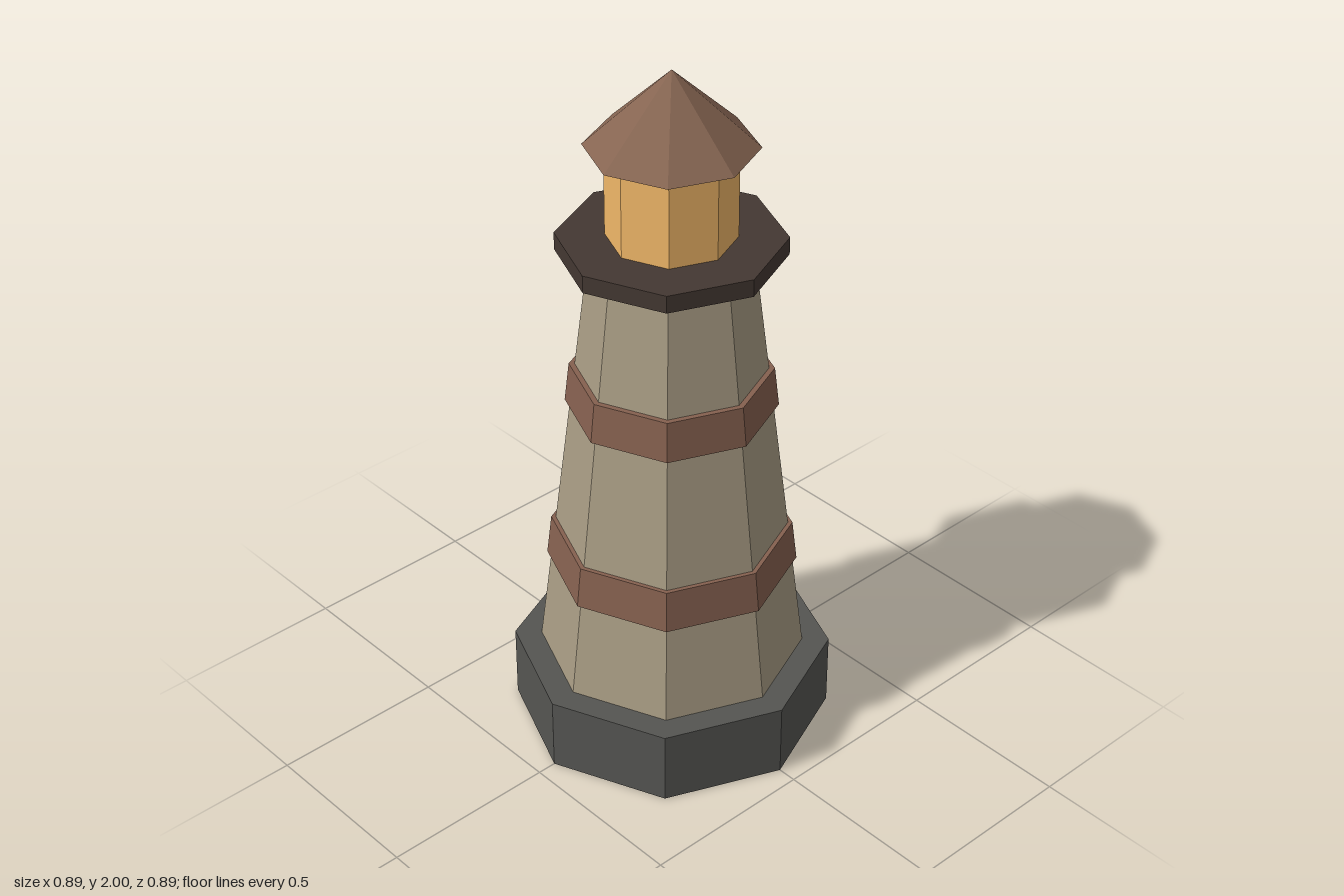
import * as THREE from 'three';

const SIDES = 8;

export function createModel() {
  const model = new THREE.Group();
  model.name = 'lighthouse';

  const material = (color) => new THREE.MeshStandardMaterial({ color, flatShading: true });
  const stone = material(0xa89c84);
  const darkStone = material(0x555552);
  const brick = material(0x85604f);
  const darkWood = material(0x443832);
  const roofing = material(0x866552);
  const glow = material(0xf0b768);

  // Octagonal tier between two heights, with a corner on each axis
  const tier = (name, y0, y1, bottomRadius, topRadius, mat) => {
    const geometry = topRadius > 0
      ? new THREE.CylinderGeometry(topRadius, bottomRadius, y1 - y0, SIDES)
      : new THREE.ConeGeometry(bottomRadius, y1 - y0, SIDES);
    const mesh = new THREE.Mesh(geometry, mat);
    mesh.name = name;
    mesh.position.y = (y0 + y1) / 2;
    model.add(mesh);
  };

  // Plinth and tapering tower, which runs down through the plinth
  tier('base', 0, 0.217, 0.446, 0.446, darkStone);
  tier('tower', 0.002, 1.49, 0.397, 0.214, stone);

  // Painted bands that follow the taper
  tier('lowerBand', 0.505, 0.625, 0.347, 0.333, brick);
  tier('upperBand', 1.015, 1.13, 0.287, 0.274, brick);

  // Gallery, lantern room and roof
  tier('gallery', 1.48, 1.53, 0.304, 0.304, darkWood);
  tier('lantern', 1.53, 1.79, 0.173, 0.173, glow);
  tier('roof', 1.788, 2, 0.228, 0, roofing);

  return model;
}
